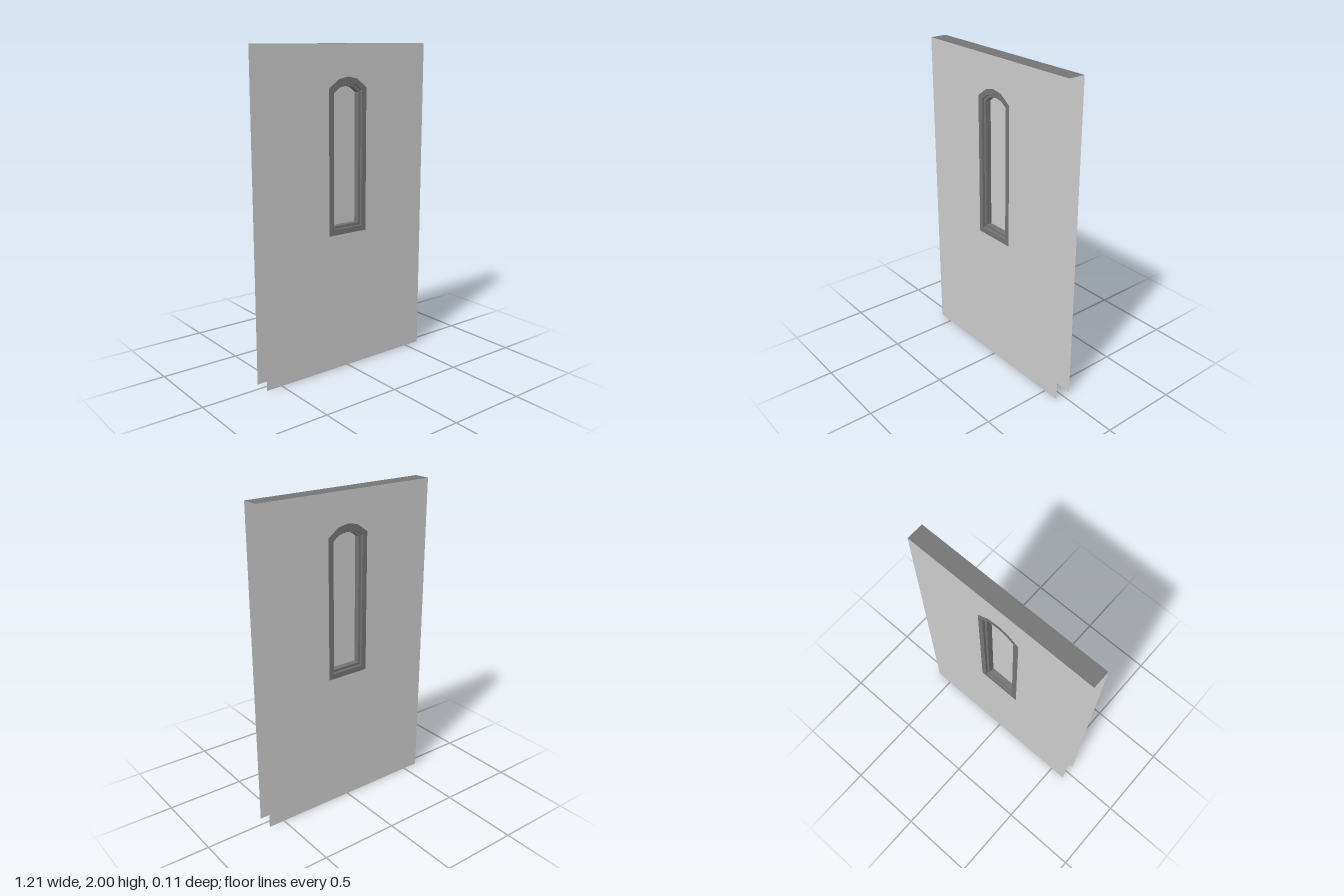
import * as THREE from 'three';

const W = 0.605, H = 2, D = 0.053, LIP = 0.037;

const grey = new THREE.MeshStandardMaterial({ color: 0xcccccc, side: THREE.DoubleSide });
const dark = new THREE.MeshStandardMaterial({ color: 0x757575, side: THREE.DoubleSide, flatShading: true });

// Arched window outline: half width, sill, spring line, shoulder point, crown
const arch = (w, sill, spring, sx, sy, crown) => [
  [-w, sill], [w, sill], [w, spring], [sx, sy], [0, crown], [-sx, sy], [-w, spring],
].map(([x, y]) => new THREE.Vector2(x, y));

const outer = arch(0.14, 0.865, 1.745, 0.067, 1.797, 1.81);
const middle = arch(0.108, 0.9, 1.727, 0.056, 1.764, 1.775);
const inner = arch(0.093, 0.918, 1.716, 0.05, 1.747, 1.757);

// Flat sheet between an outline and an optional hole, facing dir along z
function sheet(name, outline, hole, z, material, dir = 1) {
  const shape = new THREE.Shape(outline);
  if (hole) shape.holes.push(new THREE.Path(hole));
  const mesh = new THREE.Mesh(new THREE.ShapeGeometry(shape), material);
  mesh.name = name;
  mesh.position.z = z;
  if (dir < 0) mesh.rotation.y = Math.PI; // outlines are symmetric in x
  return mesh;
}

// Wall that follows an outline from z0 to z1, facing into the opening
function reveal(name, outline, z0, z1) {
  const pos = [];
  outline.forEach((a, i) => {
    const b = outline[(i + 1) % outline.length];
    pos.push(a.x, a.y, z0, b.x, b.y, z1, b.x, b.y, z0);
    pos.push(a.x, a.y, z0, a.x, a.y, z1, b.x, b.y, z1);
  });
  const geo = new THREE.BufferGeometry();
  geo.setAttribute('position', new THREE.Float32BufferAttribute(pos, 3));
  geo.computeVertexNormals();
  const mesh = new THREE.Mesh(geo, dark);
  mesh.name = name;
  return mesh;
}

export function createModel() {
  const door = new THREE.Group();
  door.name = 'door';
  const rect = [[-W, 0], [W, 0], [W, H], [-W, H]].map(([x, y]) => new THREE.Vector2(x, y));

  // Door faces with the stepped window trim on each side
  for (const s of [1, -1]) {
    const side = s > 0 ? 'front' : 'back';
    door.add(
      sheet(side + 'Panel', rect, outer, s * D, grey, s),
      sheet(side + 'WindowTrim', outer, middle, s * D, dark, s),
      sheet(side + 'WindowLip', middle, inner, s * LIP, dark, s),
      reveal(side + 'TrimStep', middle, Math.min(s * D, s * LIP), Math.max(s * D, s * LIP)),
    );
  }

  // Window opening and pane
  door.add(reveal('windowReveal', inner, -LIP, LIP));
  door.add(sheet('windowPane', inner, null, 0, grey));

  // Top edge; the sides and the bottom stay open
  const top = new THREE.Mesh(new THREE.PlaneGeometry(W * 2, D * 2), dark);
  top.name = 'topEdge';
  top.rotation.x = -Math.PI / 2;
  top.position.y = H;
  door.add(top);

  return door;
}
